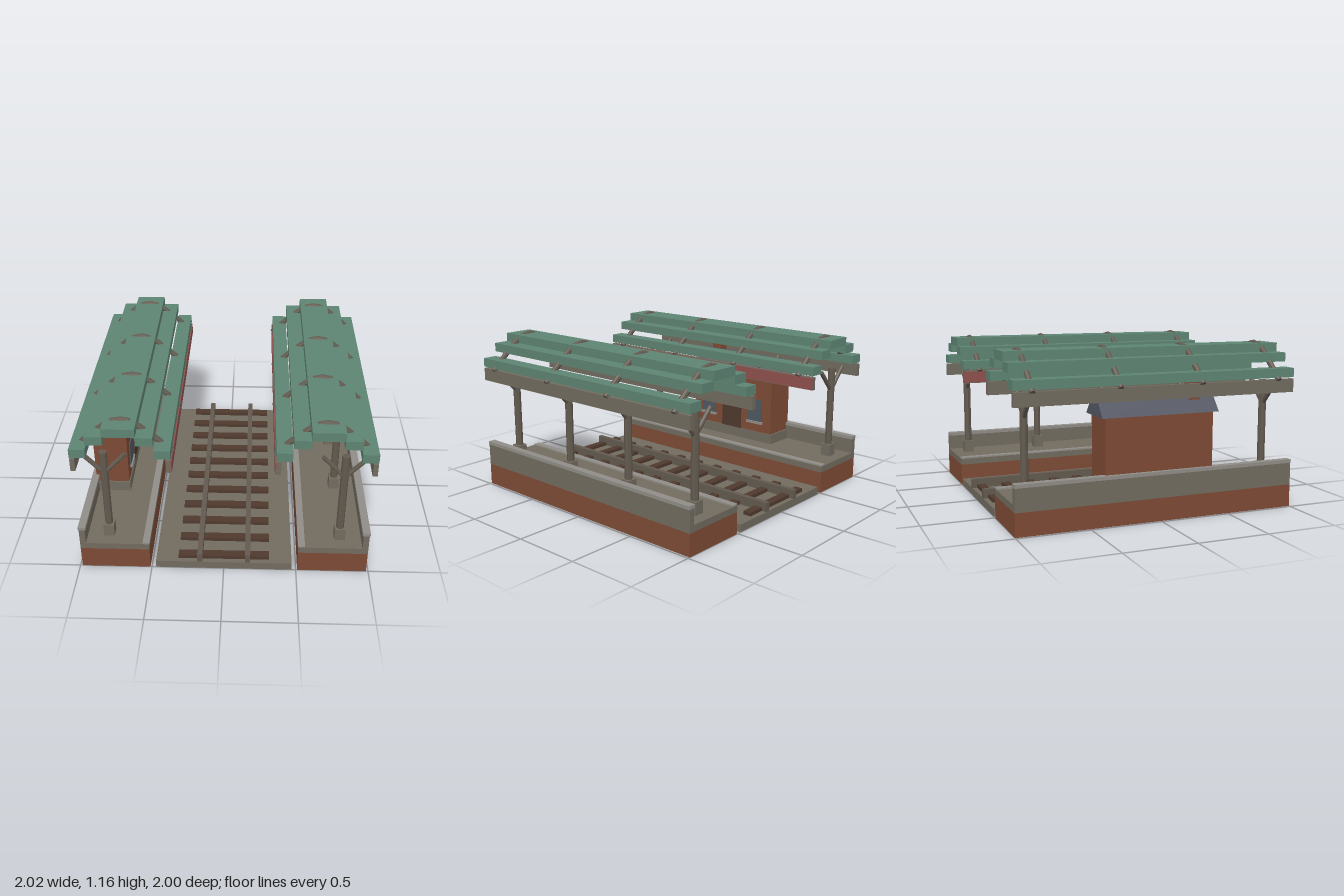
import * as THREE from 'three';

const mat = (name, color) => {
  const m = new THREE.MeshStandardMaterial({ color });
  m.name = name;
  return m;
};

export function createModel() {
  const M = {
    brick: mat('brick', 0x7d4a35),
    stone: mat('stone', 0x716b5f),
    trim: mat('pale stone', 0x908d87),
    wood: mat('dark wood', 0x4f392d),
    post: mat('weathered post', 0x625a4f),
    green: mat('green roof', 0x5e8473),
    slate: mat('slate', 0x535763),
    glass: mat('window glass', 0x4e5861),
    red: mat('red fascia', 0x8f504d),
  };
  M.post.flatShading = true;

  const root = new THREE.Group();
  root.name = 'railwayStation';
  const group = (name, parent = root) => {
    const g = new THREE.Group();
    g.name = name;
    parent.add(g);
    return g;
  };
  const add = (parent, name, geo, material) => {
    const m = new THREE.Mesh(geo, material);
    m.name = name;
    parent.add(m);
    return m;
  };
  // box given by its minimum and maximum along each axis
  const box = (parent, name, material, x0, x1, y0, y1, z0 = -1, z1 = 1) => {
    const m = add(parent, name, new THREE.BoxGeometry(Math.abs(x1 - x0), y1 - y0, z1 - z0), material);
    m.position.set((x0 + x1) / 2, (y0 + y1) / 2, (z0 + z1) / 2);
    return m;
  };
  // round rod between two points
  const rod = (parent, name, a, b, r, sides) => {
    const dir = b.clone().sub(a);
    const m = add(parent, name, new THREE.CylinderGeometry(r, r, dir.length(), sides), M.post);
    m.position.copy(a).add(b).multiplyScalar(0.5);
    m.quaternion.setFromUnitVectors(new THREE.Vector3(0, 1, 0), dir.normalize());
    return m;
  };
  const V = (x, y, z) => new THREE.Vector3(x, y, z);

  // track: bed, sleepers and rails
  const track = group('track');
  box(track, 'trackBed', M.stone, -0.47, 0.47, 0, 0.055);
  for (let i = -5; i <= 5; i++) {
    const z = i * 0.187;
    box(track, 'sleeper', M.wood, -0.315, 0.315, 0.055, 0.08, z - 0.03, z + 0.03);
  }
  for (const x of [-0.165, 0.165]) box(track, 'rail', M.post, x - 0.018, x + 0.018, 0.055, 0.12);

  const rows = [-0.878, -0.293, 0.293, 0.878];
  for (const s of [-1, 1]) {
    // platform with outer wall and edge stones
    const platform = group(s < 0 ? 'rightPlatform' : 'leftPlatform');
    box(platform, 'platformBase', M.brick, s * 0.51, s * 0.985, 0, 0.157);
    box(platform, 'platformDeck', M.stone, s * 0.51, s * 0.985, 0.157, 0.203);
    box(platform, 'platformEdge', M.trim, s * 0.507, s * 0.555, 0.203, 0.214);
    box(platform, 'outerWall', M.stone, s * 0.945, s * 0.985, 0.203, 0.313);
    box(platform, 'wallCap', M.trim, s * 0.938, s * 0.99, 0.313, 0.337);

    // forked posts
    for (const z of rows) {
      const x = s * 0.795;
      const post = group('forkedPost', platform);
      box(post, 'postFoot', M.stone, x - 0.037, x + 0.037, 0.203, 0.293, z - 0.037, z + 0.037);
      rod(post, 'postShaft', V(x, 0.2, z), V(x, 0.885, z), 0.027, 8);
      for (const d of [-1, 1]) rod(post, 'postBranch', V(x, 0.715, z), V(x + d * 0.147, 0.873, z), 0.016, 8);
    }

    // stepped canopy of long slats
    const canopy = group(s < 0 ? 'rightCanopy' : 'leftCanopy');
    const cx = s * 0.664;
    box(canopy, 'topSlat', M.green, cx - 0.107, cx + 0.107, 1.076, 1.138);
    for (const d of [-1, 1]) {
      box(canopy, 'middleSlat', M.green, cx + d * 0.104, cx + d * 0.218, 1.015, 1.077);
      box(canopy, 'lowerSlat', M.green, cx + d * 0.22, cx + d * 0.326, 0.916, 0.979);
      box(canopy, 'eavesBeam', M.stone, cx + d * 0.293, cx + d * 0.325, 0.813, 0.905);
    }
    box(canopy, 'innerFascia', M.red, s * 0.331, s * 0.339, 0.818, 0.9);

    // curved ribs running through the slats
    const half = [[0.33, 0.9], [0.265, 0.963], [0.155, 1.06], [0.07, 1.12]];
    const profile = [...half.map(([d, y]) => [-d, y]), [0, 1.136], ...half.slice().reverse()];
    for (const z of rows) {
      const curve = new THREE.CatmullRomCurve3(profile.map(([d, y]) => V(cx + d, y, z)));
      add(canopy, 'canopyRib', new THREE.TubeGeometry(curve, 16, 0.02, 8), M.post);
      for (const d of [-1, 1]) {
        const cap = add(canopy, 'ribEnd', new THREE.CircleGeometry(0.02, 8), M.post);
        cap.position.set(cx + d * 0.33, 0.9, z);
        cap.lookAt(cx + d * 0.4, 0.83, z);
      }
    }
  }

  // station house on the right platform, door facing the track
  const house = group('stationHouse');
  box(house, 'houseBase', M.stone, -0.965, -0.713, 0.203, 0.28, -0.4, 0.4);
  box(house, 'houseWalls', M.brick, -0.962, -0.72, 0.28, 0.712, -0.388, 0.388);
  const gable = new THREE.Shape([
    new THREE.Vector2(-0.987, 0.71),
    new THREE.Vector2(-0.697, 0.71),
    new THREE.Vector2(-0.842, 0.885),
  ]);
  const roof = add(house, 'houseRoof', new THREE.ExtrudeGeometry(gable, { depth: 0.836, bevelEnabled: false }), M.slate);
  roof.position.z = -0.418;
  box(house, 'chimney', M.brick, -0.922, -0.842, 0.72, 0.97, 0.228, 0.308);
  box(house, 'door', M.wood, -0.721, -0.712, 0.28, 0.57, -0.095, 0.095);
  for (const z of [-0.235, 0.235]) {
    box(house, 'window', M.glass, -0.721, -0.712, 0.365, 0.545, z - 0.067, z + 0.067);
    box(house, 'windowSill', M.trim, -0.721, -0.702, 0.348, 0.368, z - 0.075, z + 0.075);
  }
  return root;
}
